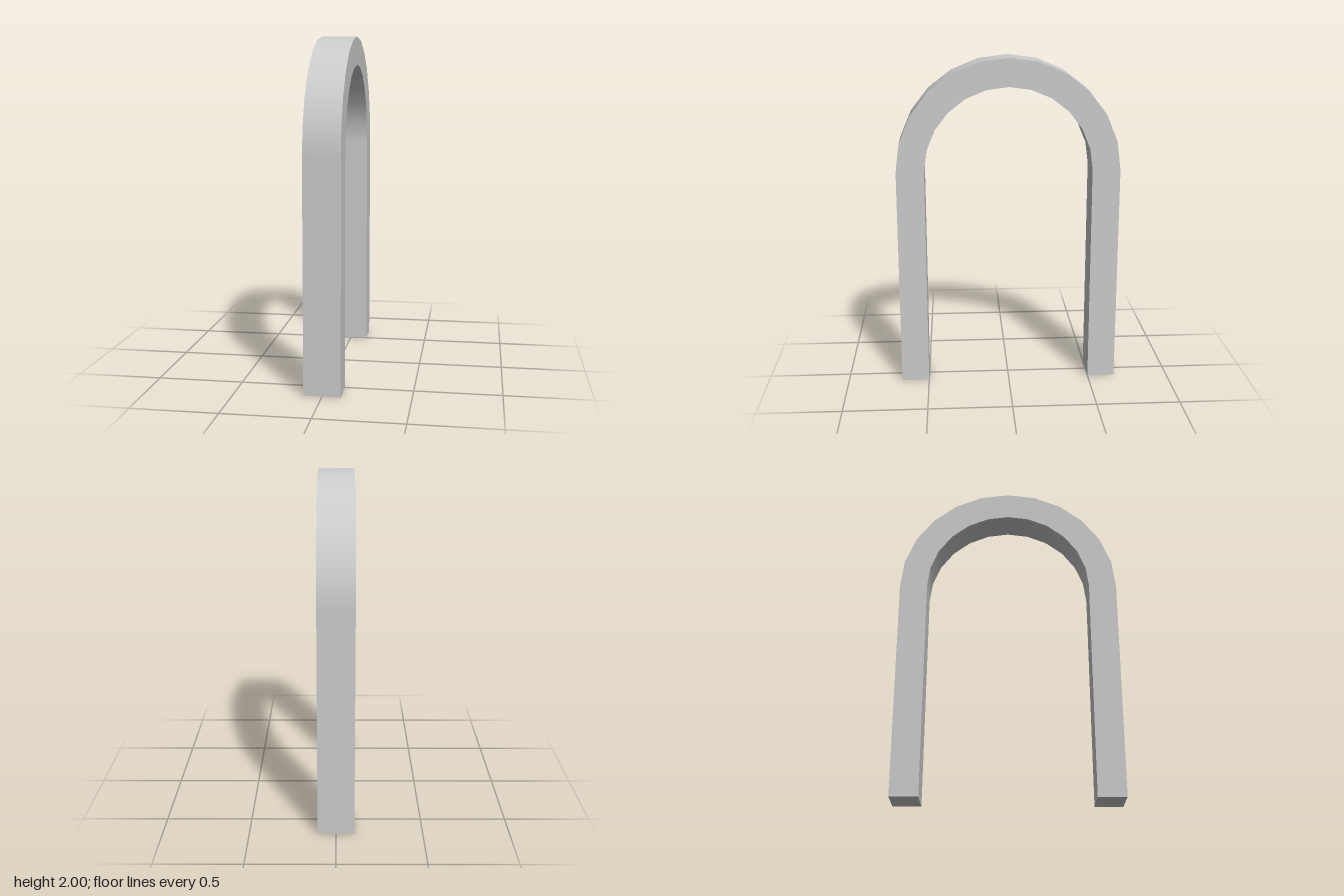
import * as THREE from 'three';
import { mergeGeometries } from 'three/addons/utils/BufferGeometryUtils.js';

const OUTER = 0.667, INNER = 0.5, HALF = 0.106, SPRING = 1.333;

export function createModel() {
  const group = new THREE.Group();
  group.name = 'arch';
  const material = new THREE.MeshStandardMaterial({ color: 0xcccccc });

  // Half-ring: each side of the rectangular section is swept separately for sharp edges
  const corners = [[OUTER, -HALF], [OUTER, HALF], [INNER, HALF], [INNER, -HALF]]
    .map(([r, y]) => new THREE.Vector2(r, y));
  const strips = corners.map((corner, i) =>
    new THREE.LatheGeometry([corner, corners[(i + 1) % 4]], 12, 0, Math.PI));
  const ring = mergeGeometries(strips);
  ring.normalizeNormals();
  ring.rotateZ(Math.PI / 2);
  const curve = new THREE.Mesh(ring, material);
  curve.name = 'archCurve';
  curve.position.y = SPRING;
  group.add(curve);

  // Straight legs, left open on top where they meet the curve
  for (const side of [1, -1]) {
    const box = new THREE.BoxGeometry(2 * HALF, SPRING, OUTER - INNER);
    const faces = Array.from(box.index.array);
    faces.splice(12, 6);
    box.setIndex(faces);
    box.clearGroups();
    const leg = new THREE.Mesh(box, material);
    leg.name = side > 0 ? 'frontLeg' : 'backLeg';
    leg.position.set(0, SPRING / 2, side * (OUTER + INNER) / 2);
    group.add(leg);
  }
  return group;
}
